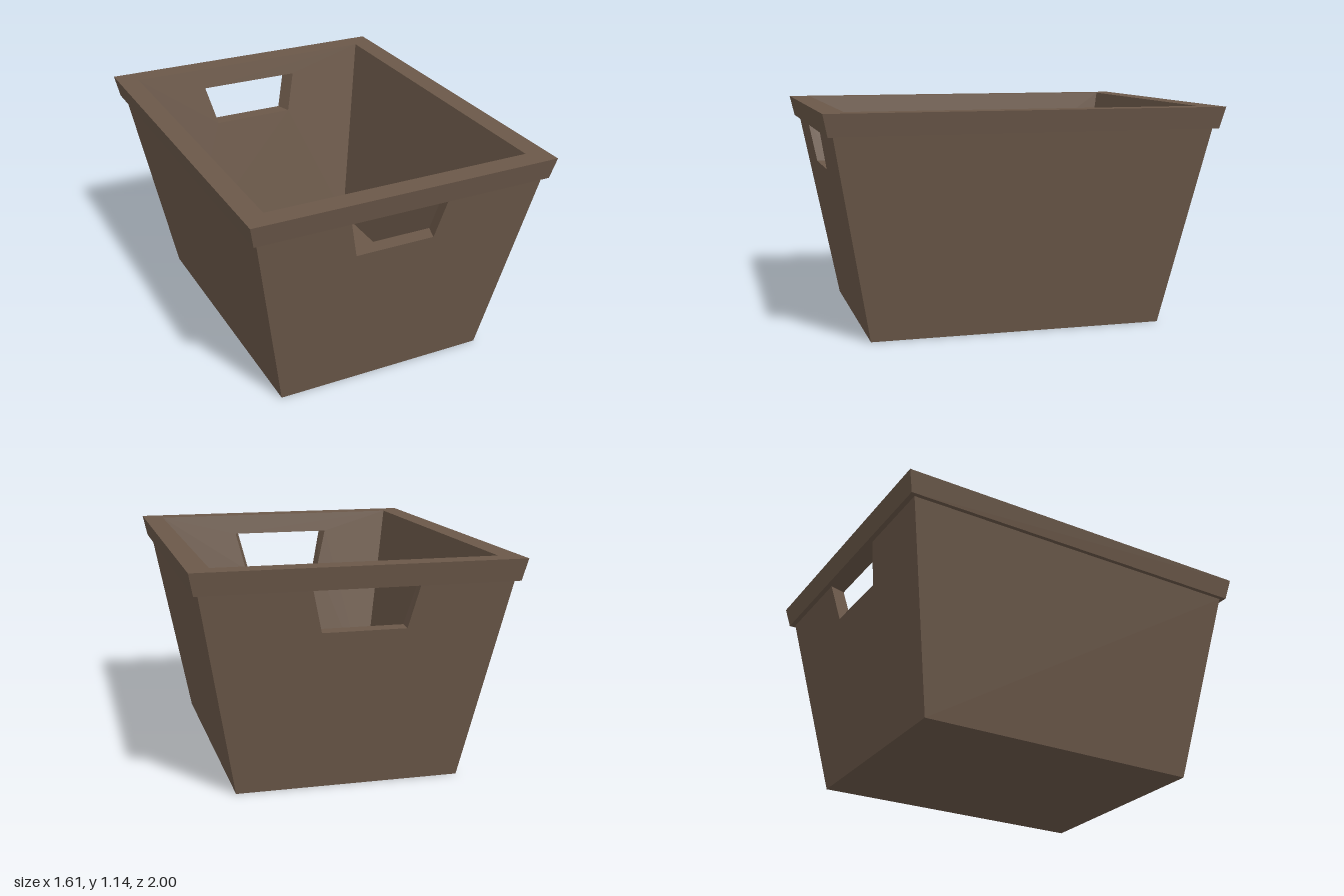
import * as THREE from 'three';

const WALL_TOP = 1.03, RIM_TOP = 1.14, FLOOR = 0.09;

// Rectangular loop of corners at height y, starting front left of the page
const rect = (hx, hz, y) => [[-hx, y, hz], [hx, y, hz], [hx, y, -hz], [-hx, y, -hz]];

// Quads joining two four-corner loops, on the chosen sides
function band(a, b, sides = [0, 1, 2, 3]) {
  return sides.map((i) => {
    const j = (i + 1) % 4;
    return [a[i], a[j], b[j], b[i]];
  });
}

function addPart(group, name, quads, material) {
  const positions = quads.flatMap(([a, b, c, d]) => [a, b, c, a, c, d]).flat();
  const geometry = new THREE.BufferGeometry();
  geometry.setAttribute('position', new THREE.Float32BufferAttribute(positions, 3));
  geometry.computeVertexNormals();
  const mesh = new THREE.Mesh(geometry, material);
  mesh.name = name;
  group.add(mesh);
}

export function createModel() {
  const group = new THREE.Group();
  group.name = 'basket';
  const brown = new THREE.MeshStandardMaterial({ color: 0x6b5849 });
  brown.name = 'brown';

  // Cross-sections running up the outside, over the rim and down inside
  const base = rect(0.568, 0.76, 0);
  const wallTop = rect(0.76, 0.95, WALL_TOP);
  const lipBottom = rect(0.782, 0.976, WALL_TOP);
  const lipTop = rect(0.805, 1, RIM_TOP);
  const mouth = rect(0.695, 0.888, RIM_TOP);
  const floor = rect(0.52, 0.685, FLOOR);

  // Depth of the sloping end walls at height y
  const outerZ = (y) => THREE.MathUtils.mapLinear(y, 0, WALL_TOP, 0.76, 0.95);
  const innerZ = (y) => THREE.MathUtils.mapLinear(y, FLOOR, RIM_TOP, 0.685, 0.888);

  // Handhole outline on an end wall, ordered as seen from outside
  const outline = (xs, depth, side) => {
    const p = xs.map((x, i) => {
      const y = i < 2 ? 0.815 : WALL_TOP;
      return [x, y, side * depth(y)];
    });
    return side > 0 ? p : [p[1], p[0], p[3], p[2]];
  };

  // Long side walls, base and floor
  addPart(group, 'outerSideWalls', band(base, wallTop, [1, 3]), brown);
  addPart(group, 'innerSideWalls', band(mouth, floor, [1, 3]), brown);
  addPart(group, 'base', [[...base].reverse()], brown);
  addPart(group, 'floor', [floor], brown);

  // Rim: underside, outer lip and flat top
  addPart(group, 'rim', [
    ...band(wallTop, lipBottom), ...band(lipBottom, lipTop), ...band(lipTop, mouth),
  ], brown);

  // End walls, each pierced by a handhole
  for (const [name, side, i] of [['front', 1, 0], ['back', -1, 2]]) {
    const j = i + 1;
    const outerHole = outline([-0.24, 0.178, 0.23, -0.29], outerZ, side);
    const innerHole = outline([-0.247, 0.205, 0.257, -0.305], innerZ, side);
    const outerWall = [base[i], base[j], wallTop[j], wallTop[i]];
    const innerWall = [floor[i], floor[j], mouth[j], mouth[i]];
    addPart(group, name + 'OuterWall', band(outerWall, outerHole, [0, 1, 3]), brown);
    addPart(group, name + 'InnerWall', band(innerHole, innerWall), brown);
    addPart(group, name + 'Handhole', band(outerHole, innerHole), brown);
  }
  return group;
}
